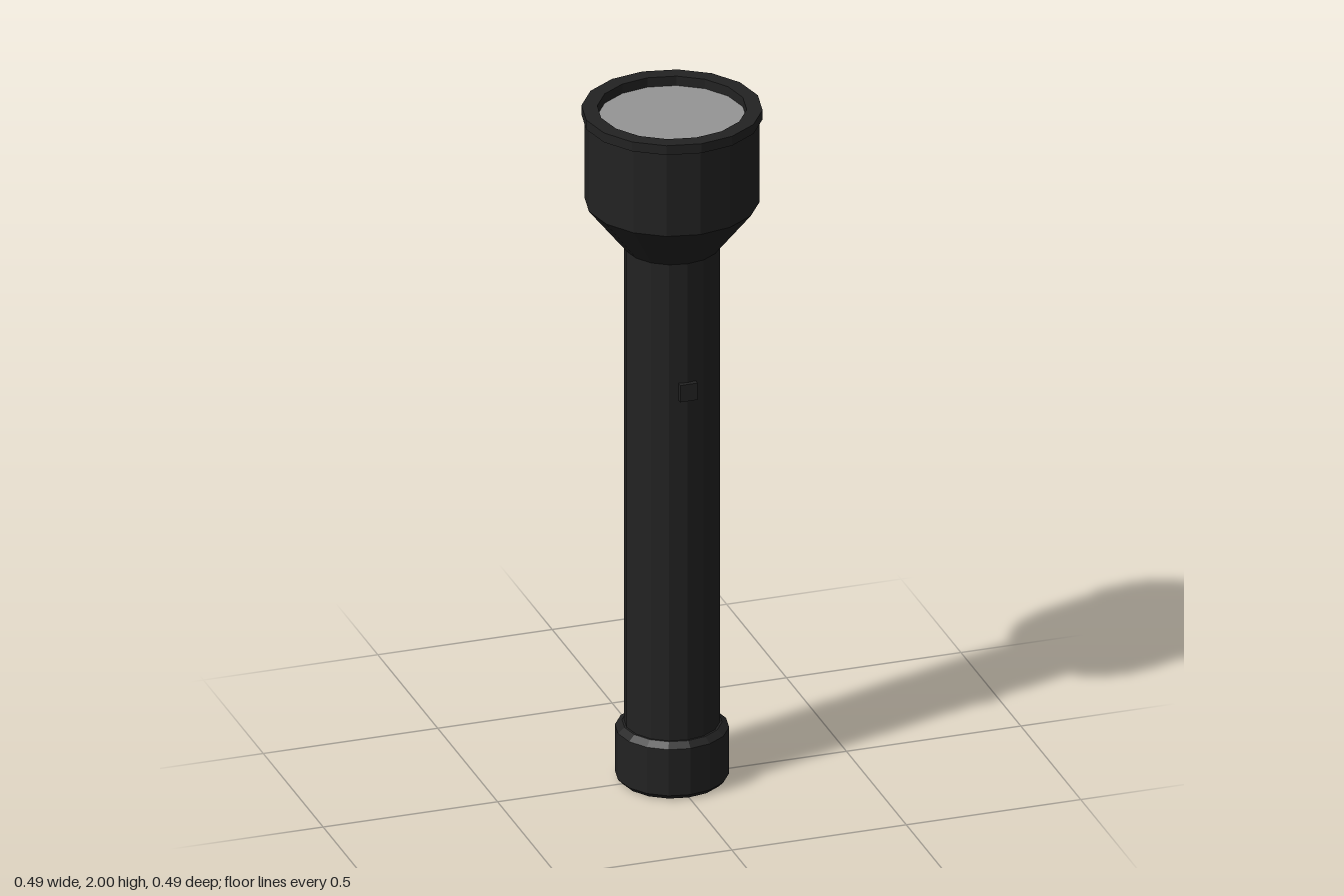
import * as THREE from 'three';

const SIDES = 16;

export function createModel() {
  const group = new THREE.Group();
  const black = new THREE.MeshStandardMaterial({ color: 0x222222, flatShading: true });
  black.name = 'black casing';
  const grey = new THREE.MeshStandardMaterial({ color: 0x959595, flatShading: true });
  grey.name = 'grey lens';

  const add = (name, geometry, material) => {
    const mesh = new THREE.Mesh(geometry, material);
    mesh.name = name;
    group.add(mesh);
    return mesh;
  };
  // Turned part from [radius, height] pairs, listed from bottom to top
  const turned = (name, profile) =>
    add(name, new THREE.LatheGeometry(profile.map(([r, y]) => new THREE.Vector2(r, y)), SIDES), black);

  // Screw-on cap with bevelled ends
  turned('tailCap', [[0, 0], [0.142, 0], [0.155, 0.014], [0.155, 0.152], [0.136, 0.167], [0.13, 0.167]]);
  // Long grip
  turned('barrel', [[0.13, 0.16], [0.13, 1.59]]);
  // Flared neck and reflector housing
  turned('head', [[0.13, 1.59], [0.238, 1.725], [0.238, 1.972]]);
  // Raised lip around the recessed lens
  turned('rim', [[0.238, 1.972], [0.246, 1.972], [0.246, 2], [0.203, 2], [0.203, 1.97]]);

  const lens = add('lens', new THREE.CircleGeometry(0.203, SIDES), grey);
  lens.rotation.x = -Math.PI / 2;
  lens.position.y = 1.972;

  // Square switch on the front of the barrel
  const button = add('switchButton', new THREE.BoxGeometry(0.05, 0.05, 0.04), black);
  button.position.set(0, 1.21, 0.122);

  return group;
}
